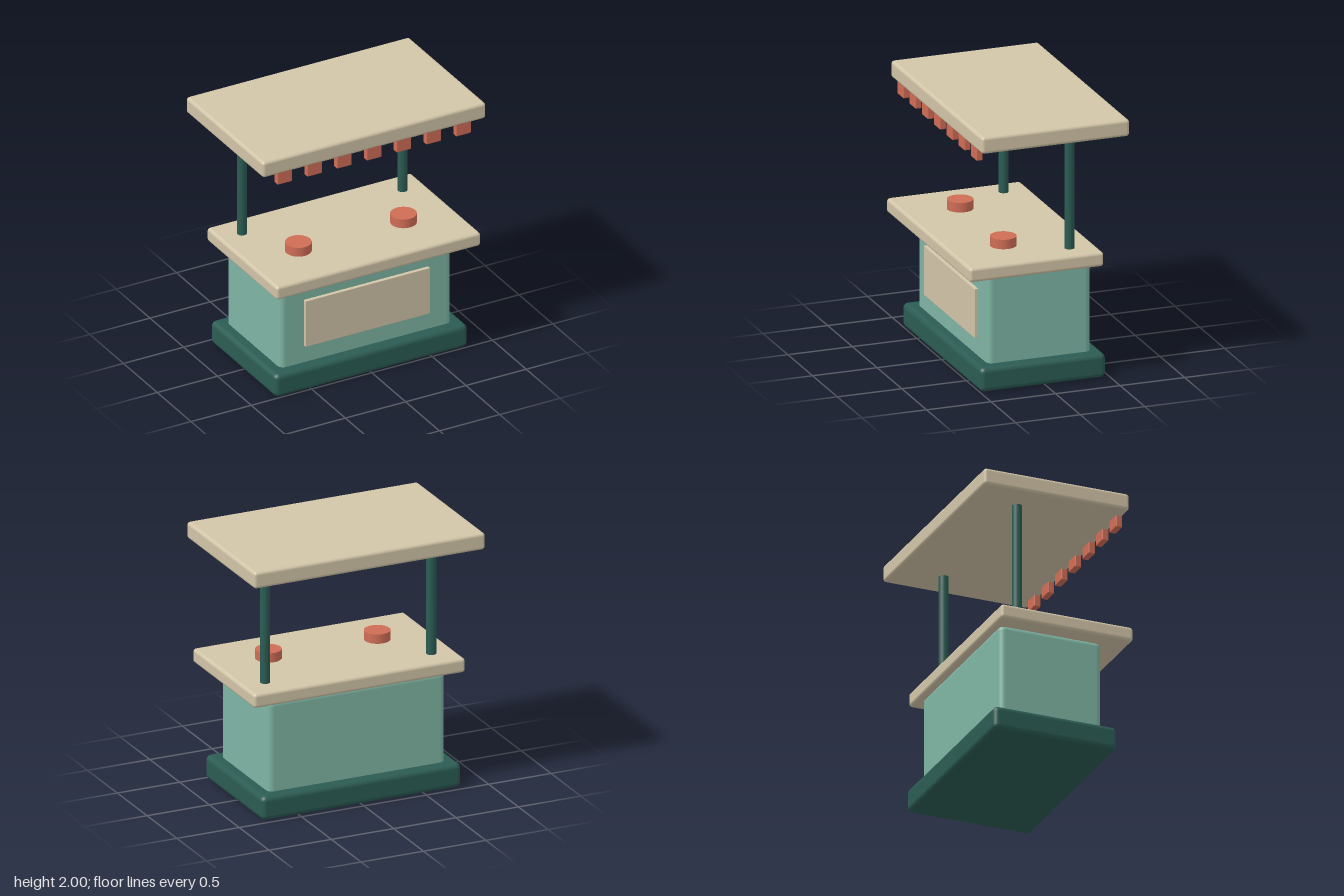
import * as THREE from 'three';
import { RoundedBoxGeometry } from 'three/addons/geometries/RoundedBoxGeometry.js';

function material(name, color) {
  const m = new THREE.MeshStandardMaterial({ color });
  m.name = name;
  return m;
}

export function createModel() {
  const cream = material('cream', 0xd2c5a8);
  const teal = material('teal', 0x7fb5a4);
  const darkGreen = material('dark green', 0x2b5c53);
  const coral = material('coral', 0xd06d56);

  const stall = new THREE.Group();
  stall.name = 'marketStall';

  function add(name, geometry, mat, x, y, z) {
    const mesh = new THREE.Mesh(geometry, mat);
    mesh.name = name;
    mesh.position.set(x, y, z);
    stall.add(mesh);
  }

  // Rounded block given by half width, y range and z range
  function block(name, mat, halfWidth, y0, y1, z0, z1, radius, x = 0) {
    const geometry = new RoundedBoxGeometry(halfWidth * 2, y1 - y0, z1 - z0, 3, radius);
    add(name, geometry, mat, x, (y0 + y1) / 2, (z0 + z1) / 2);
  }

  // Plinth, cabinet, front panel, worktop and roof
  block('base', darkGreen, 0.8, 0, 0.185, -0.47, 0.503, 0.04);
  block('cabinet', teal, 0.71, 0.13, 0.885, -0.387, 0.415, 0.045);
  block('frontPanel', cream, 0.516, 0.322, 0.7, 0.39, 0.442, 0.004);
  block('counter', cream, 0.848, 0.87, 0.98, -0.435, 0.606, 0.025);
  block('roof', cream, 0.927, 1.87, 2, -0.604, 0.542, 0.025);

  // Rear posts and round goods on the counter
  for (const side of [-1, 1]) {
    add(side > 0 ? 'leftPost' : 'rightPost',
      new THREE.CylinderGeometry(0.037, 0.037, 0.94, 20), darkGreen, side * 0.666, 1.425, -0.235);
    add(side > 0 ? 'leftDisc' : 'rightDisc',
      new THREE.CylinderGeometry(0.097, 0.097, 0.09, 24), coral, side * 0.436, 1.007, 0.19);
  }

  // Row of awning tabs under the front edge of the roof
  for (let i = -3; i <= 3; i++) {
    block('awningTab', coral, 0.062, 1.782, 1.89, 0.487, 0.537, 0.008, i * 0.247);
  }

  return stall;
}
